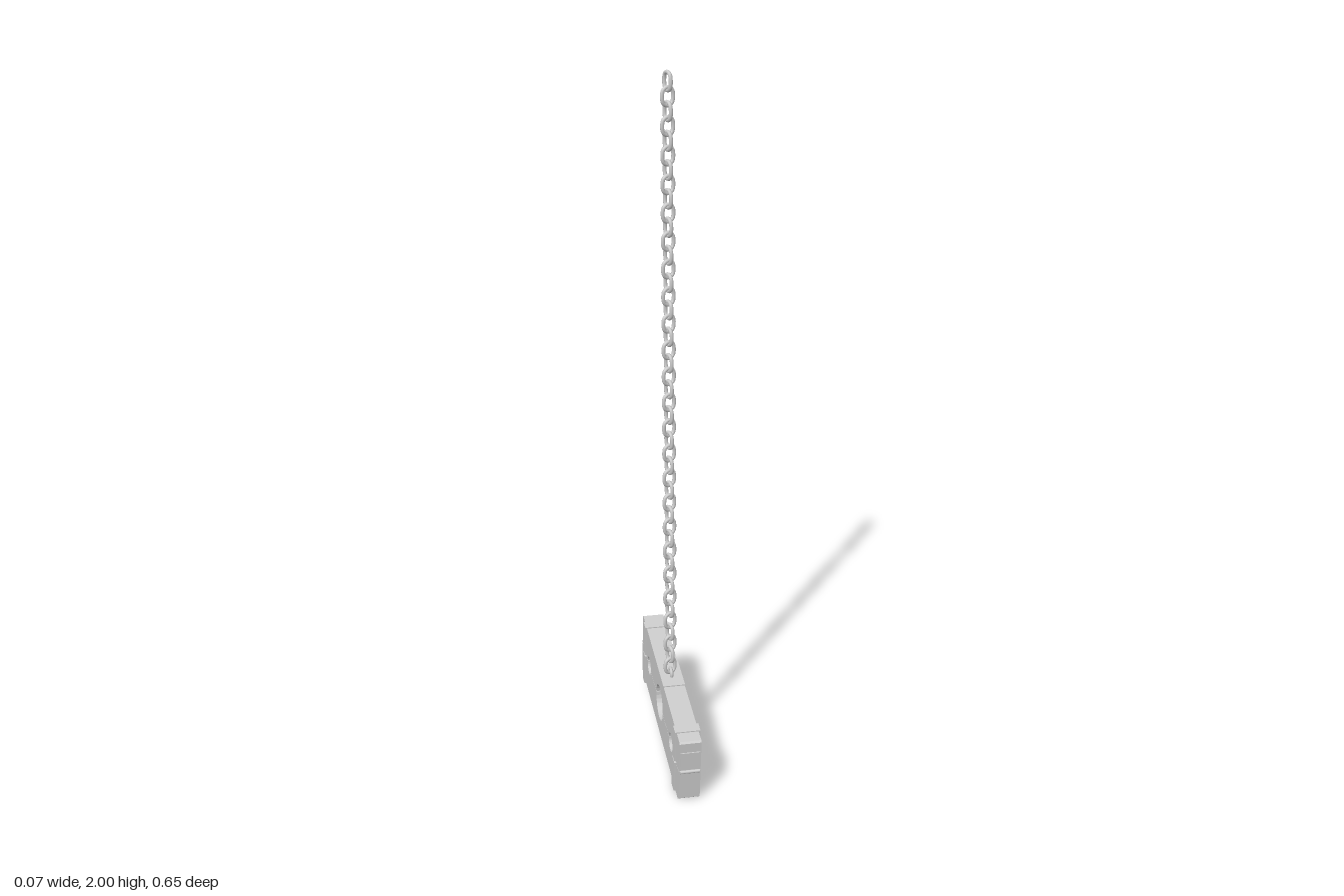
import * as THREE from 'three';

const metal = new THREE.MeshStandardMaterial({ color: 0xcccccc, flatShading: true });
const smooth = new THREE.MeshStandardMaterial({ color: 0xcccccc });

function add(parent, name, geometry, x = 0, y = 0, z = 0, material = metal) {
  const mesh = new THREE.Mesh(geometry, material);
  mesh.name = name;
  mesh.position.set(x, y, z);
  parent.add(mesh);
  return mesh;
}
const box = (w, h, d) => new THREE.BoxGeometry(w, h, d);

const HALF_LEN = 0.304, HALF_H = 0.102, HALF_T = 0.031;
const HOLES = [[-0.177, 0.027], [0.005, 0.053], [0.183, 0.027]];
const seam = (u) => 0.0035 * Math.sin(u * 95) + 0.002 * Math.sin(u * 210 + 1);

// Rough split line of one plank (side +1 upper, -1 lower), notched by the half holes
function seamPoints(side) {
  const points = [];
  const gap = side * 0.001;
  let u = -HALF_LEN;
  const walk = (end) => {
    const n = Math.max(2, Math.round((end - u) / 0.014));
    for (let i = 0; i < n; i++) {
      const t = u + ((end - u) * i) / n;
      points.push(new THREE.Vector2(t, seam(t) + gap));
    }
  };
  for (const [c, r] of HOLES) {
    walk(c - r);
    for (let i = 0; i <= 14; i++) {
      const a = Math.PI * (1 - i / 14);
      points.push(new THREE.Vector2(c + r * Math.cos(a), side * r * Math.sin(a) + gap));
    }
    u = c + r + 0.004;
  }
  walk(HALF_LEN);
  points.push(new THREE.Vector2(HALF_LEN, seam(HALF_LEN) + gap));
  return points;
}

function plankGeometry(side) {
  const c = 0.005; // clipped outer corners
  const points = seamPoints(side);
  points.push(
    new THREE.Vector2(HALF_LEN, side * (HALF_H - c)),
    new THREE.Vector2(HALF_LEN - c, side * HALF_H),
    new THREE.Vector2(-HALF_LEN + c, side * HALF_H),
    new THREE.Vector2(-HALF_LEN, side * (HALF_H - c)));
  const geometry = new THREE.ExtrudeGeometry(new THREE.Shape(points), { depth: HALF_T * 2, bevelEnabled: false });
  return geometry.translate(0, 0, -HALF_T);
}

// Stadium-shaped chain link lying in the XY plane
function linkGeometry(length, width, wire) {
  const r = width / 2 - wire, straight = length / 2 - wire - r;
  const points = [];
  for (const s of [1, -1]) {
    for (let i = 0; i <= 5; i++) {
      const a = (Math.PI * i) / 5;
      points.push(new THREE.Vector3(s * r * Math.cos(a), s * (straight + r * Math.sin(a)), 0));
    }
  }
  const curve = new THREE.CatmullRomCurve3(points, true);
  return new THREE.TubeGeometry(curve, 24, wire, 8, true);
}

function createBoard() {
  const board = new THREE.Group();
  board.name = 'stocksBoard';
  for (const side of [1, -1]) {
    const label = side > 0 ? 'upper' : 'lower';
    add(board, label + 'Plank', plankGeometry(side));

    // Iron straps near both ends, split along the seam
    for (const u of [-0.246, 0.249]) {
      add(board, label + 'Strap', box(0.031, 0.102, 0.072), u, side * 0.054, 0);
    }
    // Hinge leaves on one end
    add(board, label + 'HingeLeaf', box(0.004, 0.06, 0.056), -HALF_LEN - 0.001, side * 0.036, 0);
  }
  // Hinge barrel
  const barrel = new THREE.CylinderGeometry(0.005, 0.005, 0.056, 10).rotateX(Math.PI / 2);
  add(board, 'hingeBarrel', barrel, -HALF_LEN - 0.003, 0, 0, smooth);

  // Hasp with its staple and locking pin on the other end
  add(board, 'haspPlate', box(0.007, 0.125, 0.05), HALF_LEN + 0.003, 0, 0);
  add(board, 'haspKnuckle', box(0.01, 0.014, 0.056), HALF_LEN + 0.004, 0.062, 0);
  add(board, 'haspTongue', box(0.006, 0.1, 0.024), HALF_LEN + 0.008, 0.006, 0);
  add(board, 'haspStaple', new THREE.TorusGeometry(0.013, 0.004, 6, 16), HALF_LEN + 0.019, -0.002, 0, smooth);
  const pin = new THREE.CylinderGeometry(0.004, 0.004, 0.04, 8);
  add(board, 'lockPin', pin, HALF_LEN + 0.021, -0.004, 0, smooth);

  // Chain mount on the top edge
  add(board, 'chainPlate', box(0.11, 0.006, 0.064), 0.001, HALF_H, 0);
  const eye = new THREE.TorusGeometry(0.014, 0.005, 8, 16);
  add(board, 'chainEye', eye, 0.001, HALF_H + 0.007, 0, smooth);

  board.rotation.set(0.107, Math.PI / 2, 0);
  board.position.set(0, 0.134, 0.01);
  return board;
}

function createChain() {
  const chain = new THREE.Group();
  chain.name = 'chain';
  const count = 46;
  const geometry = linkGeometry(0.057, 0.042, 0.0053);
  const top = new THREE.Vector3(-0.013, 1.9715, 0.041);
  const bottom = new THREE.Vector3(-0.002, 0.268, 0.02);
  for (let i = 0; i < count; i++) {
    const p = top.clone().lerp(bottom, i / (count - 1));
    const link = add(chain, 'chainLink', geometry, p.x, p.y, p.z, smooth);
    // alternate links stand at right angles
    link.rotation.y = 0.35 + (i % 2 ? 0 : Math.PI / 2);
  }
  return chain;
}

export function createModel() {
  const model = new THREE.Group();
  model.name = 'hangingStocks';
  model.add(createBoard(), createChain());
  return model;
}
